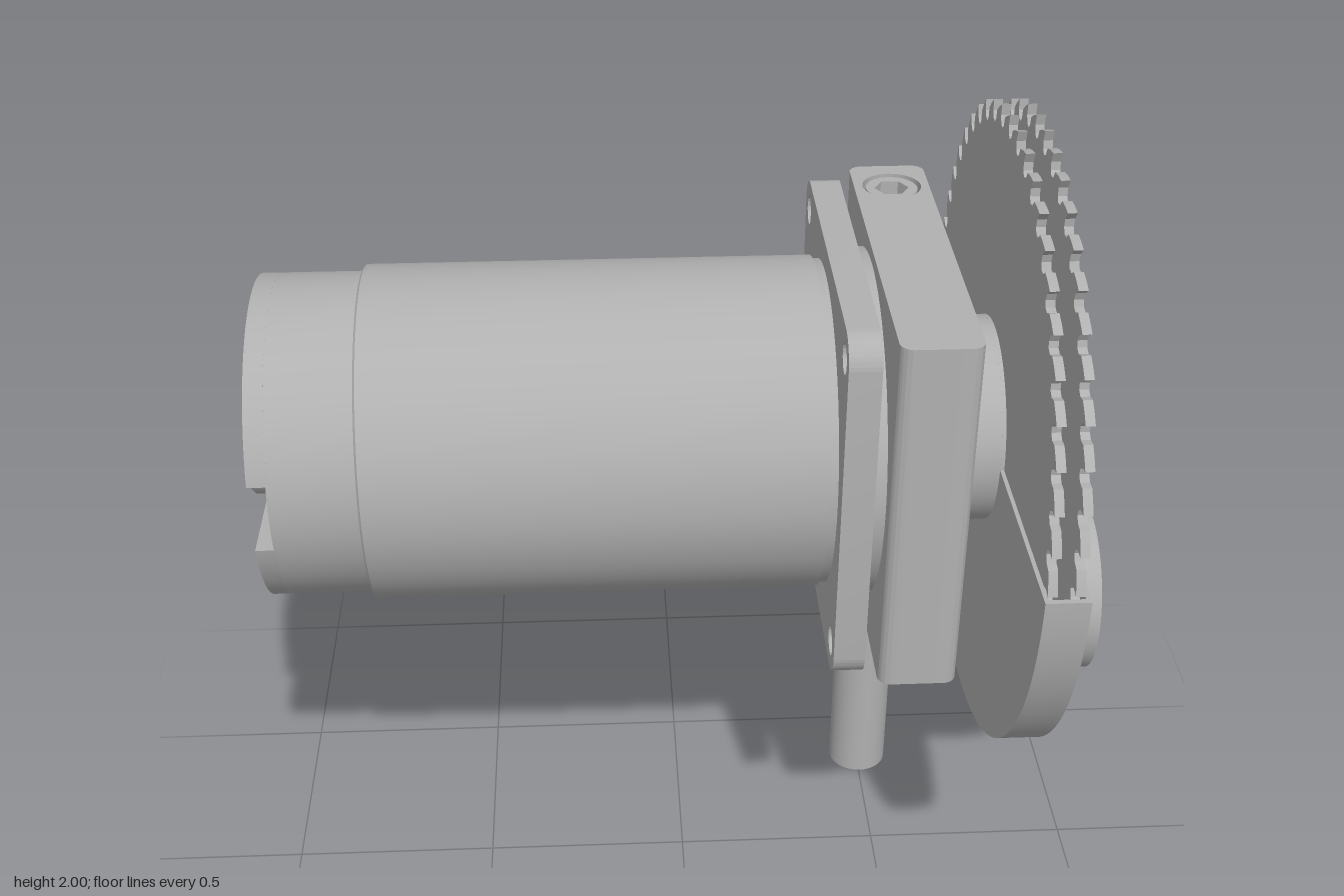
import * as THREE from 'three';
import { toCreasedNormals } from 'three/addons/utils/BufferGeometryUtils.js';

const AXIS_Y = 1.285; // height of the motor axis
const PI = Math.PI;

export function createModel() {
  const model = new THREE.Group();
  model.name = 'motorSawUnit';
  const steel = new THREE.MeshStandardMaterial({ color: 0xb0b0b0 });
  steel.name = 'steelGrey';

  function add(name, geometry) {
    const mesh = new THREE.Mesh(toCreasedNormals(geometry, 0.5), steel);
    mesh.name = name;
    model.add(mesh);
    return mesh;
  }

  // Shape drawn as seen from +x, extruded along x between two positions
  function plateX(name, shape, x0, x1) {
    const g = new THREE.ExtrudeGeometry(shape, { depth: x1 - x0, bevelEnabled: false, curveSegments: 48 });
    return add(name, g.rotateY(PI / 2).translate(x0, AXIS_Y, 0));
  }

  // Shape drawn as seen from above, extruded upwards
  function plateY(name, shape, y0, y1) {
    const g = new THREE.ExtrudeGeometry(shape, { depth: y1 - y0, bevelEnabled: false, curveSegments: 24 });
    return add(name, g.rotateX(-PI / 2).translate(0, y0, 0));
  }

  // Turned part about the motor axis, from [radius, x] pairs
  function turned(name, profile) {
    const g = new THREE.LatheGeometry(profile.map(([r, x]) => new THREE.Vector2(r, x)), 64);
    return add(name, g.rotateZ(-PI / 2).translate(0, AXIS_Y, 0));
  }

  function circle(r, x = 0, y = 0, Type = THREE.Path) {
    const p = new Type();
    p.absarc(x, y, r, 0, PI * 2, false);
    return p;
  }

  function hexagon(r, x, y) {
    const pts = [];
    for (let i = 0; i < 6; i++) pts.push(new THREE.Vector2(x + r * Math.cos(i * PI / 3), y + r * Math.sin(i * PI / 3)));
    return new THREE.Path(pts);
  }

  function roundedRect(x0, y0, x1, y1, r) {
    const s = new THREE.Shape();
    s.absarc(x1 - r, y1 - r, r, 0, PI / 2);
    s.absarc(x0 + r, y1 - r, r, PI / 2, PI);
    s.absarc(x0 + r, y0 + r, r, PI, PI * 1.5);
    s.absarc(x1 - r, y0 + r, r, PI * 1.5, PI * 2);
    s.closePath();
    return s;
  }

  // Motor housing
  turned('motorBody', [[0, -0.705], [0.372, -0.705], [0.378, -0.7], [0.378, 0.295], [0.37, 0.295], [0.37, 0.32], [0, 0.32]]);
  turned('rearCap', [[0, -0.895], [0.363, -0.895], [0.363, -0.7], [0, -0.7]]);

  // Two raised halves of the rear cap leave a slot between them
  const half = Math.asin(0.08 / 0.363);
  for (const start of [0, PI]) {
    const s = new THREE.Shape();
    s.absarc(0, 0, 0.363, start + half, start + PI - half);
    s.closePath();
    plateX('rearCapHalf', s, -0.935, -0.893);
  }
  turned('rearBoss', [[0, -0.975], [0.13, -0.975], [0.135, -0.97], [0.135, -0.89], [0, -0.89]]);

  // Plug under the rear cap, with a hexagonal recess
  const plug = circle(0.075, -0.825, 0, THREE.Shape);
  plug.holes.push(hexagon(0.042, -0.825, 0));
  plateY('brushPlug', plug, 0.905, 0.96);

  // Mounting flange with four corner holes
  const flange = roundedRect(-0.428, -0.428, 0.428, 0.428, 0.07);
  for (const x of [-0.36, 0.36]) for (const y of [-0.36, 0.36]) flange.holes.push(circle(0.034, x, y));
  plateX('mountingFlange', flange, 0.315, 0.385);
  turned('flangePilot', [[0, 0.38], [0.395, 0.38], [0.395, 0.42], [0, 0.42]]);

  // Clamp block, its bolt and the supporting rod
  const block = roundedRect(0.415, -0.45, 0.59, 0.455, 0.03);
  block.holes.push(circle(0.068, 0.503, 0.342));
  plateY('clampBlock', block, 0.865, 1.71);
  const head = circle(0.06, 0.503, 0.342, THREE.Shape);
  head.holes.push(hexagon(0.04, 0.503, 0.342));
  plateY('boltHead', head, 1.66, 1.705);
  add('boltShank', new THREE.CylinderGeometry(0.068, 0.068, 0.79, 32).translate(0.503, 1.265, -0.342));
  add('supportRod', new THREE.CylinderGeometry(0.075, 0.075, 0.87, 40).translate(0.503, 0.435, -0.342));

  // Hub behind the guard
  turned('hub', [[0, 0.58], [0.235, 0.58], [0.235, 0.692], [0, 0.692]]);

  // Guard: two cheeks with a raised dome, joined by a half-round rim
  function cheek() {
    const s = new THREE.Shape();
    s.absarc(0, 0, 0.737, PI, PI * 2);
    s.lineTo(0.235, 0);
    s.absarc(0, 0, 0.235, 0, PI);
    s.closePath();
    return s;
  }
  plateX('guardBack', cheek(), 0.69, 0.7);
  const front = cheek();
  front.holes.push(circle(0.192, 0, -0.475));
  plateX('guardFront', front, 0.775, 0.785);
  const rim = new THREE.Shape();
  rim.absarc(0, 0, 0.737, PI, PI * 2);
  rim.absarc(0, 0, 0.724, PI * 2, PI, true);
  rim.closePath();
  plateX('guardRim', rim, 0.7, 0.775);

  // Dust port on the guard
  const port = circle(0.207, 0, -0.475, THREE.Shape);
  port.holes.push(circle(0.192, 0, -0.475));
  plateX('dustPort', port, 0.78, 0.973);

  // Twin saw blades with hooked teeth
  const TEETH = 50;
  const tooth = [[0, 0.675], [0.15, 0.668], [0.33, 0.676], [0.42, 0.696], [0.7, 0.707], [1, 0.716], [0.93, 0.692]];
  const outline = [];
  for (let i = 0; i < TEETH; i++) {
    for (const [t, r] of tooth) {
      const a = (i + t) * PI * 2 / TEETH;
      outline.push(new THREE.Vector2(r * Math.cos(a), r * Math.sin(a)));
    }
  }
  for (const x of [0.699, 0.756]) plateX('sawBlade', new THREE.Shape(outline), x, x + 0.02);

  // Arbor with a flat on top and a centre hole
  const flat = Math.asin(0.038 / 0.046);
  const arbor = new THREE.Shape();
  arbor.absarc(0, 0, 0.046, PI - flat, PI * 2 + flat);
  arbor.closePath();
  arbor.holes.push(circle(0.015));
  plateX('arbor', arbor, 0.69, 0.93);

  return model;
}
